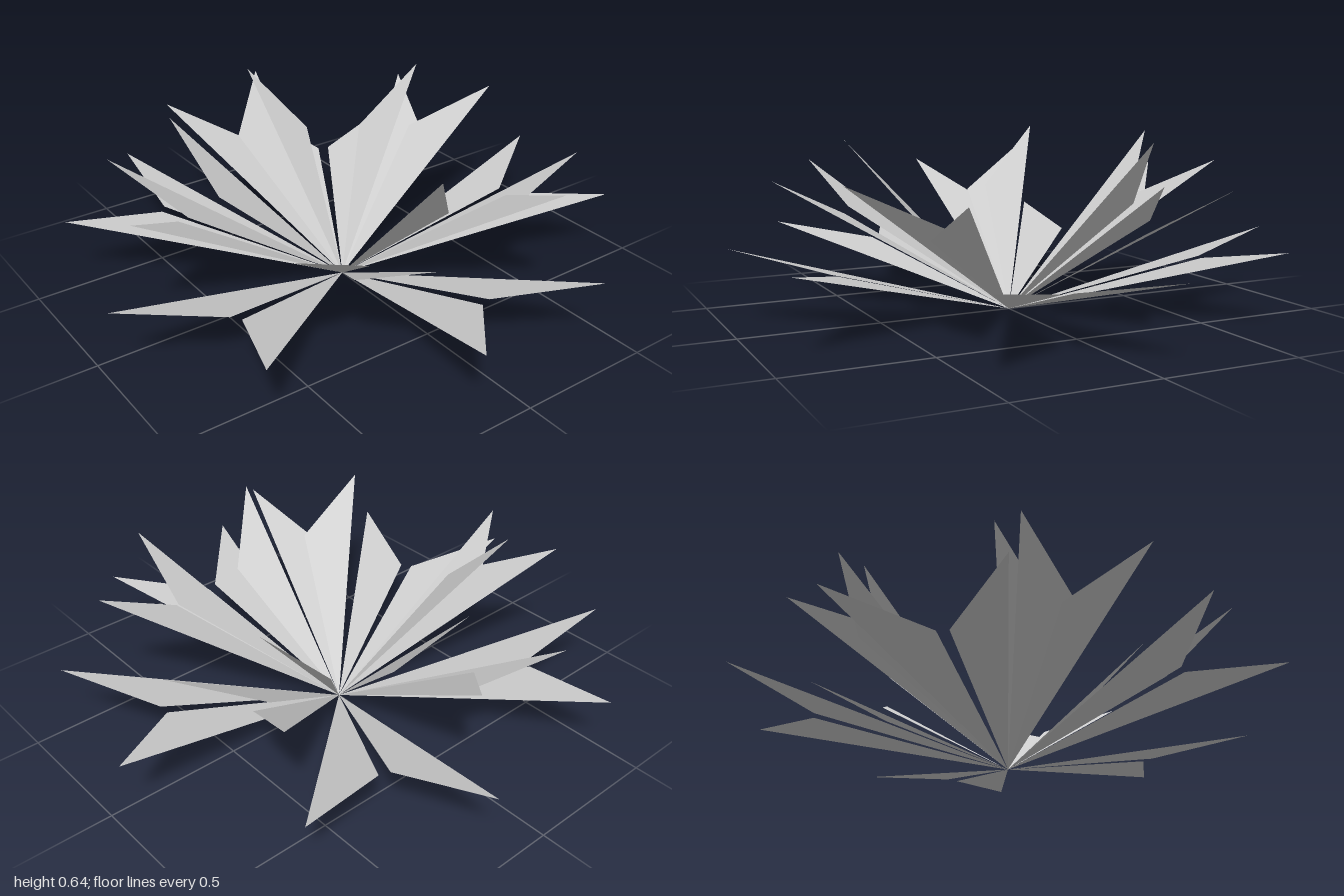
import * as THREE from 'three';

// Each blade is a flat triangle from the shared root to a tip and one shoulder.
// Angles in degrees run from +x towards +z; points are given as radius and height.
const TIERS = [
  { name: 'outerBlade', angles: [11, 83, 155, 227, 299], tip: [1.0, 0.27], shoulder: [0.70, 0.20], turn: -16 },
  { name: 'outerPartnerBlade', angles: [48, 120, 192, 264, 336].map((a) => a + 0.6), tip: [1.0, 0.27], shoulder: [0.693, 0.20], turn: 15 },
  { name: 'middleBlade', angles: [16.5, 88.5, 160.5, 232.5, 304.5].map((a) => a - 0.2), tip: [0.845, 0.49], shoulder: [0.61, 0.345], turn: 16 },
  { name: 'middlePartnerBlade', angles: [46, 118, 190, 262, 334], tip: [0.825, 0.53], shoulder: [0.587, 0.38], turn: -18.5 },
  { name: 'innerBlade', angles: [5, 125, 245], tip: [0.605, 0.64], shoulder: [0.46, 0.41], turn: -20.5 },
  { name: 'innerPartnerBlade', angles: [178], tip: [0.60, 0.64], shoulder: [0.455, 0.41], turn: 20 },
];

const material = new THREE.MeshStandardMaterial({ color: 0xcccccc, side: THREE.DoubleSide, flatShading: true });

function polar([radius, height], degrees) {
  const a = THREE.MathUtils.degToRad(degrees);
  return new THREE.Vector3(radius * Math.cos(a), height, radius * Math.sin(a));
}

function blade({ name, tip, shoulder, turn }, angle) {
  const points = [new THREE.Vector3(), polar(tip, angle), polar(shoulder, angle + turn)];
  // Order the corners so the front face looks up
  if (turn > 0) points.reverse();
  const geometry = new THREE.BufferGeometry().setFromPoints(points);
  geometry.computeVertexNormals();
  const mesh = new THREE.Mesh(geometry, material);
  mesh.name = name;
  return mesh;
}

export function createModel() {
  const plant = new THREE.Group();
  plant.name = 'leafRosette';
  for (const tier of TIERS) {
    const ring = new THREE.Group();
    ring.name = tier.name + 'Ring';
    for (const angle of tier.angles) ring.add(blade(tier, angle));
    plant.add(ring);
  }
  return plant;
}
